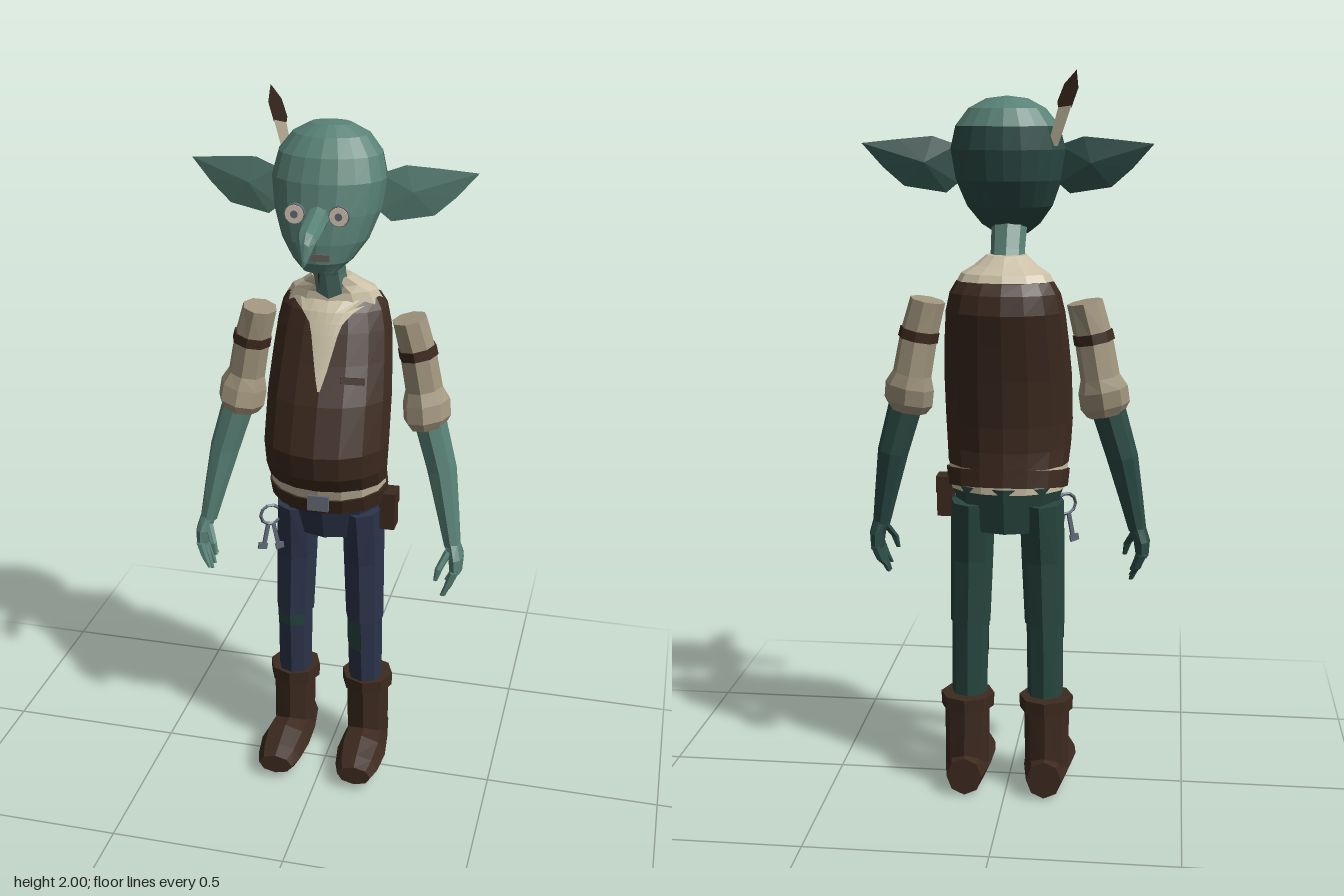
import * as THREE from 'three';

const mat = (name, color) => {
  const m = new THREE.MeshStandardMaterial({ color, side: THREE.DoubleSide });
  m.name = name;
  return m;
};
const M = {
  skin: mat('green skin', 0x588175),
  darkSkin: mat('dark green skin', 0x2d4d47),
  shirt: mat('cream shirt', 0xcabfa5),
  sleeve: mat('dull linen', 0xa2967e),
  leather: mat('brown leather', 0x3d2a1f),
  navy: mat('navy cloth', 0x2c344a),
  green: mat('dark green cloth', 0x28463f),
  metal: mat('grey metal', 0x636b78),
  eye: mat('eye white', 0xd8cab8),
  mouth: mat('mouth', 0x6a625c),
};

const facet = (g) => {
  const f = g.index ? g.toNonIndexed() : g;
  f.computeVertexNormals();
  return f;
};
function add(parent, name, geo, material, pos = [0, 0, 0], rot = [0, 0, 0]) {
  const mesh = new THREE.Mesh(facet(geo), material);
  mesh.name = name;
  mesh.position.set(...pos);
  mesh.rotation.set(...rot);
  parent.add(mesh);
  return mesh;
}

// Elliptical cross-sections [cx, cy, cz, ra, rb] stacked upwards, or forwards when axis is 'z'
function loft(rings, n = 8, { axis = 'y', from = 0, to = Math.PI * 2, slope = 0 } = {}) {
  const pos = [], idx = [];
  for (const [cx, cy, cz, ra, rb] of rings) {
    for (let j = 0; j <= n; j++) {
      const a = from + (to - from) * j / n, c = ra * Math.cos(a), s = rb * Math.sin(a);
      if (axis === 'y') pos.push(cx + c, cy + slope * c, cz + s);
      else pos.push(cx + c, cy - s, cz);
    }
  }
  const w = n + 1, last = (rings.length - 1) * w, c0 = rings.length * w;
  for (const r of [rings[0], rings[rings.length - 1]]) pos.push(r[0], r[1], r[2]);
  for (let i = 0; i < rings.length - 1; i++) {
    for (let j = 0; j < n; j++) {
      const a = i * w + j, b = a + w;
      idx.push(a, b, a + 1, b, b + 1, a + 1);
    }
  }
  for (let j = 0; j < n; j++) idx.push(c0, j, j + 1, c0 + 1, last + j + 1, last + j);
  const g = new THREE.BufferGeometry();
  g.setAttribute('position', new THREE.Float32BufferAttribute(pos, 3));
  g.setIndex(idx);
  return g;
}
// Body sections given as [y, half width, front z, back z]
const body = (rows) => rows.map(([y, rx, f, b]) => [0, y, (f + b) / 2, rx, (f - b) / 2]);

// A loft whose front and back halves differ in colour
function twoTone(parent, name, rings, n, front, back, slope = 0) {
  add(parent, name + 'Front', loft(rings, n / 2, { to: Math.PI, slope }), front);
  add(parent, name + 'Back', loft(rings, n / 2, { from: Math.PI, slope }), back);
}
const trousers = (parent, name, rings) => twoTone(parent, name, rings, 8, M.navy, M.green);
const limb = (parent, name, rings, n, slope) => twoTone(parent, name, rings, n, M.skin, M.darkSkin, slope);

const VEST = body([
  [0.953, 0.167, 0.1, -0.17], [1.0, 0.172, 0.132, -0.166], [1.07, 0.176, 0.143, -0.17],
  [1.2, 0.175, 0.095, -0.19], [1.3, 0.168, 0.045, -0.21], [1.38, 0.16, 0.01, -0.228],
  [1.43, 0.148, -0.015, -0.218], [1.46, 0.13, -0.04, -0.195],
]);
// Front surface of the vest at a given x and y
function vestZ(x, y) {
  let i = 0;
  while (i < VEST.length - 2 && VEST[i + 1][1] < y) i++;
  const p = VEST[i], q = VEST[i + 1], t = (y - p[1]) / (q[1] - p[1]);
  const [, , cz, rx, rz] = p.map((v, k) => v + (q[k] - v) * t);
  return cz + rz * Math.sqrt(Math.max(0, 1 - (x / rx) ** 2));
}

function buildTorso(g) {
  add(g, 'vest', loft(VEST, 16), M.leather);
  add(g, 'shirtYoke', loft(body([[1.44, 0.14, -0.03, -0.2], [1.48, 0.118, -0.035, -0.18],
    [1.5, 0.085, -0.03, -0.155], [1.525, 0.055, -0.015, -0.125]]), 12), M.shirt);
  add(g, 'shirtHem', loft(body([[0.885, 0.16, 0.07, -0.165], [0.965, 0.167, 0.099, -0.167]]), 16), M.shirt);
  // Belt dips towards the front
  add(g, 'belt', loft(body([[-0.024, 0.167, 0.075, -0.174], [0.024, 0.171, 0.085, -0.177]]), 16), M.leather, [0, 0.906, 0], [0.15, 0, 0]);
  add(g, 'buckle', new THREE.BoxGeometry(0.06, 0.045, 0.012), M.metal, [0, 0.912, 0.088]);
  // V-shaped shirt front laid on the vest
  const halfWidths = [0.122, 0.07, 0.045, 0.036, 0.03, 0.024, 0.018, 0.011, 0.003];
  const v = new THREE.PlaneGeometry(1, 1, 6, 8), p = v.attributes.position;
  for (let i = 0; i < p.count; i++) {
    const row = Math.floor(i / 7), y = 1.46 - 0.22 * row / 8;
    const x = p.getX(i) * 2 * halfWidths[row];
    p.setXYZ(i, x, y, vestZ(x, y) + 0.006);
  }
  add(g, 'shirtFront', v, M.shirt);
  add(g, 'vestPocket', new THREE.BoxGeometry(0.065, 0.018, 0.02), M.leather, [0.085, 1.265, vestZ(0.085, 1.265)], [-0.3, 0.3, 0]);
  add(g, 'beltPouch', new THREE.BoxGeometry(0.042, 0.11, 0.055), M.leather, [0.174, 0.853, -0.045]);
  add(g, 'pouchFlap', new THREE.BoxGeometry(0.047, 0.045, 0.061), M.leather, [0.174, 0.888, -0.045]);
  trousers(g, 'hips', body([[0.77, 0.115, 0.02, -0.145], [0.9, 0.16, 0.055, -0.17]]));
  // Keys on a ring
  const keys = new THREE.Group();
  keys.name = 'keys';
  keys.position.set(-0.158, 0.82, 0.012);
  keys.rotation.y = 0.55;
  add(keys, 'keyRing', new THREE.TorusGeometry(0.03, 0.005, 4, 10), M.metal);
  for (const s of [-1, 1]) {
    const r = s * 0.2;
    add(keys, 'keyShaft', new THREE.BoxGeometry(0.011, 0.085, 0.008), M.metal, [s * 0.014, -0.068, s * 0.005], [0, 0, r]);
    add(keys, 'keyBit', new THREE.BoxGeometry(0.026, 0.018, 0.008), M.metal, [s * 0.024, -0.1, s * 0.005], [0, 0, r]);
  }
  g.add(keys);
}

function buildHead(g) {
  add(g, 'neck', loft([[0, 1.46, -0.085, 0.05, 0.05], [0, 1.54, -0.043, 0.046, 0.046], [0, 1.64, 0.01, 0.05, 0.05]], 8), M.skin);
  limb(g, 'face', body([[1.572, 0.045, 0.085, 0.025], [1.6, 0.08, 0.1, -0.05], [1.65, 0.116, 0.1, -0.108],
    [1.72, 0.142, 0.09, -0.15], [1.8, 0.153, 0.073, -0.167], [1.86, 0.138, 0.048, -0.163]]), 20);
  add(g, 'crown', loft(body([[1.86, 0.138, 0.048, -0.163], [1.905, 0.102, 0.01, -0.142],
    [1.93, 0.055, -0.025, -0.105], [1.937, 0, -0.065, -0.065]]), 20), M.skin);
  add(g, 'nose', loft([[0, 1.72, 0.06, 0.032, 0.036], [0, 1.713, 0.11, 0.03, 0.026], [0, 1.701, 0.17, 0.03, 0.022],
    [0, 1.69, 0.203, 0.026, 0.025], [0, 1.664, 0.222, 0.015, 0.027], [0, 1.64, 0.232, 0.004, 0.009]], 8, { axis: 'z' }), M.skin);
  add(g, 'mouth', new THREE.BoxGeometry(0.068, 0.018, 0.009), M.mouth, [0, 1.618, 0.098]);
  add(g, 'chinHair', new THREE.ConeGeometry(0.006, 0.07, 4), M.leather, [0, 1.56, 0.07], [Math.PI, 0, 0]);
  // Feather: flat shaft and dark tip
  const blade = (pts) => new THREE.ShapeGeometry(new THREE.Shape(pts.map((q) => new THREE.Vector2(...q))));
  const feather = new THREE.Group();
  feather.name = 'feather';
  feather.position.set(-0.125, 1.81, -0.11);
  feather.rotation.x = -0.24;
  add(feather, 'featherShaft', blade([[-0.012, 0], [0.014, 0], [-0.014, 0.1], [-0.048, 0.105]]), M.shirt);
  add(feather, 'featherTip', blade([[-0.014, 0.095], [-0.012, 0.115], [-0.03, 0.16], [-0.062, 0.196], [-0.066, 0.15], [-0.048, 0.1]]), M.leather);
  g.add(feather);
}

// Eye, ear, arm and leg for one side
function buildSide(g, side) {
  const disc = (name, r, depth, z, m) =>
    add(g, name, new THREE.CylinderGeometry(r, r, depth, 12), m, [0.058, 1.728, z], [Math.PI / 2, 0, 0]);
  disc('eyeRim', 0.027, 0.012, 0.091, M.metal);
  disc('eye', 0.0245, 0.003, 0.098, M.eye);
  disc('pupil', 0.01, 0.003, 0.1, M.metal);

  // Ear: outline with a raised middle, light inside and dark behind
  const rim = [[0.135, 1.71], [0.165, 1.685], [0.275, 1.703], [0.33, 1.752], [0.385, 1.815], [0.29, 1.825], [0.2, 1.833], [0.135, 1.81]];
  const earFace = (name, z, m) => {
    const pos = rim.flatMap(([x, y]) => [x, y, -0.04 - 0.16 * (x - 0.135)]);
    pos.push(0.22, 1.765, z);
    const idx = rim.flatMap((_, i) => {
      const k = (i + 1) % rim.length;
      return z > -0.05 ? [8, i, k] : [8, k, i];
    });
    const ear = new THREE.BufferGeometry();
    ear.setAttribute('position', new THREE.Float32BufferAttribute(pos, 3));
    ear.setIndex(idx);
    add(g, name, ear, m);
  };
  earFace('earInside', -0.043, M.skin);
  earFace('earBack', -0.075, M.darkSkin);

  // Arm
  const tilt = { slope: 0.2 };
  add(g, 'sleeve', loft([[0.27, 1.1, -0.088, 0.05, 0.05], [0.268, 1.125, -0.09, 0.066, 0.064], [0.262, 1.17, -0.1, 0.066, 0.064],
    [0.254, 1.205, -0.104, 0.052, 0.056], [0.235, 1.31, -0.1, 0.05, 0.055], [0.21, 1.405, -0.097, 0.047, 0.06]], 8, tilt), M.sleeve);
  add(g, 'sleeveBand', loft([[0.238, 1.298, -0.1, 0.054, 0.059], [0.232, 1.325, -0.1, 0.053, 0.059]], 8, tilt), M.leather);
  limb(g, 'forearm', [[0.36, 0.765, -0.035, 0.024, 0.031], [0.341, 0.86, -0.052, 0.032, 0.037],
    [0.316, 0.98, -0.075, 0.042, 0.045], [0.272, 1.13, -0.09, 0.046, 0.046]], 8, 0.2);
  limb(g, 'palm', [[0.374, 0.69, -0.028, 0.018, 0.044], [0.372, 0.735, -0.03, 0.023, 0.045], [0.36, 0.775, -0.036, 0.023, 0.03]], 8);
  for (let i = 0; i < 4; i++) {
    const z = 0.01 - 0.025 * i, tip = [0.63, 0.615, 0.618, 0.64][i];
    limb(g, 'finger', [[0.344, tip, z + 0.012, 0.006, 0.006], [0.36, 0.66, z + 0.006, 0.011, 0.011], [0.374, 0.7, z, 0.013, 0.013]], 6);
  }
  limb(g, 'thumb', [[0.324, 0.675, 0.022, 0.006, 0.006], [0.332, 0.71, 0.016, 0.011, 0.011], [0.355, 0.755, -0.015, 0.013, 0.014]], 6);

  // Leg
  trousers(g, 'shin', [[0.108, 0.27, -0.062, 0.05, 0.052], [0.106, 0.49, -0.057, 0.052, 0.06]]);
  trousers(g, 'thigh', [[0.105, 0.49, -0.056, 0.056, 0.066], [0.1, 0.68, -0.06, 0.06, 0.068], [0.095, 0.85, -0.062, 0.062, 0.095]]);
  const knee = side > 0 ? { low: 0.39, from: Math.PI / 2, to: Math.PI, n: 2 } : { low: 0.45, from: 0, to: Math.PI * 0.75, n: 3 };
  add(g, 'kneePatch', loft([[0.107, knee.low, -0.059, 0.053, 0.06], [0.106, 0.489, -0.057, 0.054, 0.063]], knee.n, knee), M.green);

  // Boot
  add(g, 'bootShaft', loft([[0.115, 0.06, -0.075, 0.062, 0.068], [0.113, 0.26, -0.075, 0.064, 0.066]], 8), M.leather);
  add(g, 'bootCuff', loft([[0.112, 0.243, -0.075, 0.075, 0.074], [0.112, 0.282, -0.075, 0.076, 0.076]], 8), M.leather);
  add(g, 'bootFoot', loft([[0.113, 0.058, -0.16, 0.05, 0.055], [0.114, 0.06, -0.06, 0.066, 0.06], [0.118, 0.06, 0.03, 0.073, 0.056],
    [0.119, 0.052, 0.1, 0.064, 0.043], [0.12, 0.05, 0.142, 0.05, 0.03]], 8, { axis: 'z' }), M.leather);
}

export function createModel() {
  const model = new THREE.Group();
  model.name = 'goblin';
  const part = (name, build, ...args) => {
    const g = new THREE.Group();
    g.name = name;
    build(g, ...args);
    model.add(g);
    return g;
  };
  part('torso', buildTorso);
  part('headParts', buildHead);
  part('leftSide', buildSide, 1);
  part('rightSide', buildSide, -1).scale.x = -1;
  return model;
}
